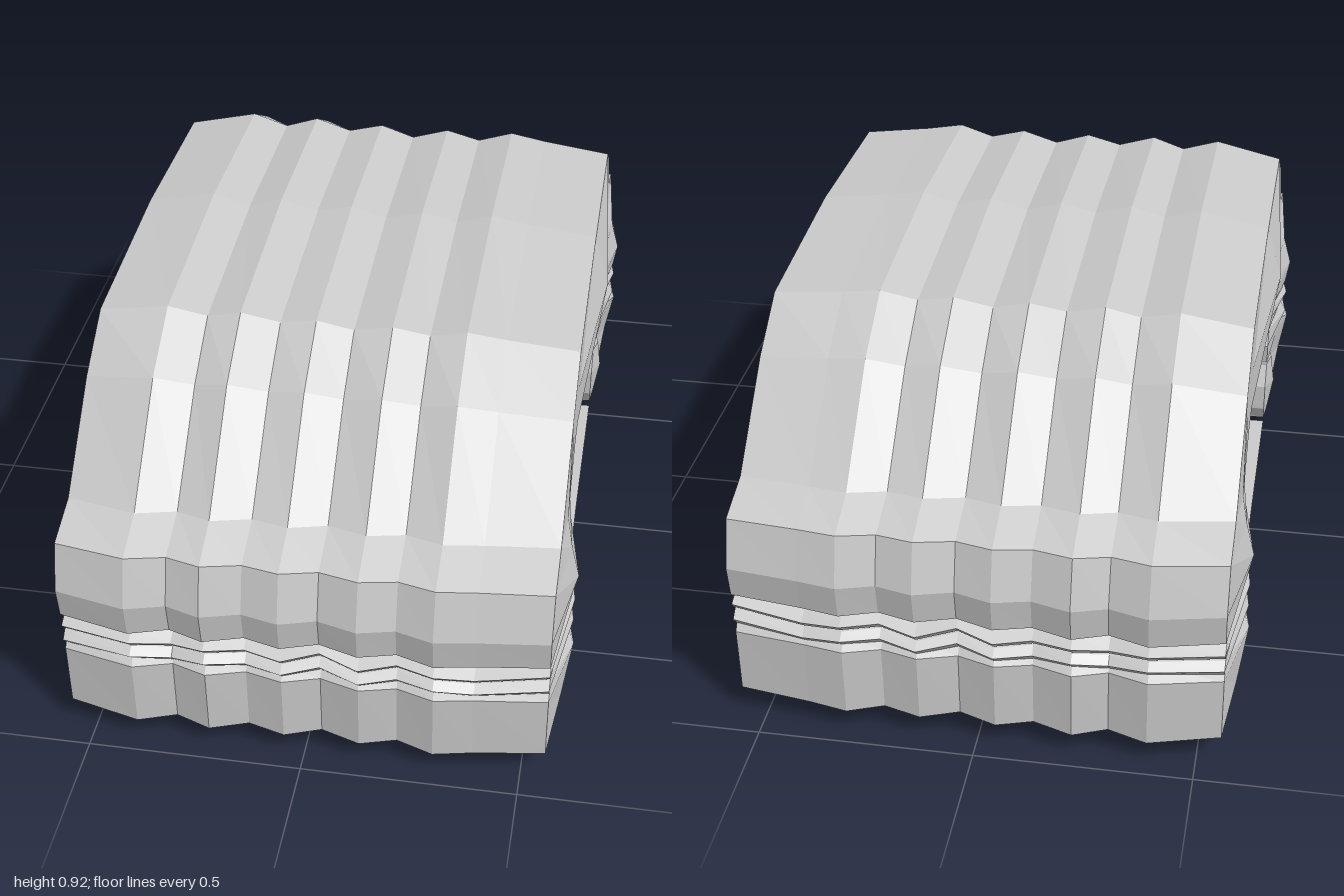
import * as THREE from 'three';

// x stations across the width, with how far each is sunk below the ridge crests
const STATIONS = [
  [-0.555, 0.035], [-0.39, 0], [-0.3, 0.025], [-0.22, 0], [-0.13, 0.025], [-0.045, 0.005],
  [0.04, 0.03], [0.13, 0.005], [0.215, 0.025], [0.3, 0], [0.39, 0.015], [0.555, 0.035],
];

const material = new THREE.MeshStandardMaterial({ color: 0xcccccc, flatShading: true, side: THREE.DoubleSide });

const mirrorZ = (rows) => rows.map(([z, y, bz, by, ...rest]) => [-z, y, -bz, by, ...rest]);

// Lofts a band along x. Each row pairs an outer point with an inner one:
// [z, y, innerZ, innerY, swelling of the ends, ridge depth factor].
function ridgedBand(name, rows, wobble = 0) {
  const outline = [...rows.map((r) => [r[0], r[1]]), ...rows.map((r) => [r[2], r[3]]).reverse()];
  let area = 0;
  outline.forEach(([z, y], i) => {
    const [z2, y2] = outline[(i + 1) % outline.length];
    area += -z * y2 + z2 * y;
  });
  const ordered = area < 0 ? [...rows].reverse() : rows;
  const n = ordered.length;

  const verts = [];
  const tri = (...pts) => pts.forEach((p) => verts.push(...p));
  const quad = (a, b, c, d) => { tri(a, b, c); tri(a, c, d); };

  const rings = STATIONS.map(([x, sink], s) => {
    const outer = [], inner = [];
    ordered.forEach(([z, y, bz, by, , depth = 1]) => {
      const len = Math.hypot(bz - z, by - y);
      const dz = (bz - z) / len * sink * depth, dy = (by - y) / len * sink * depth;
      const lift = wobble * Math.sin(s * 2.4);
      outer.push([x, y + dy + lift, z + dz]);
      inner.push([x, by - dy * 0.7 + lift, bz - dz * 0.7]);
    });
    return { outer, inner, loop: [...outer, ...[...inner].reverse()] };
  });

  // corrugated skin
  for (let s = 0; s < rings.length - 1; s++) {
    const a = rings[s].loop, b = rings[s + 1].loop;
    for (let i = 0; i < 2 * n; i++) {
      const j = (i + 1) % (2 * n);
      quad(a[i], a[j], b[j], b[i]);
    }
  }

  // swollen ends
  for (const side of [-1, 1]) {
    const { outer, inner } = side < 0 ? rings[0] : rings[rings.length - 1];
    const mid = outer.map((p, i) => [
      p[0] + side * (ordered[i][4] ?? 0.035),
      (p[1] + inner[i][1]) / 2,
      (p[2] + inner[i][2]) / 2,
    ]);
    const face = (a, b, c, d) => (side > 0 ? quad(a, b, c, d) : quad(d, c, b, a));
    for (let i = 0; i < n - 1; i++) {
      face(outer[i], outer[i + 1], mid[i + 1], mid[i]);
      face(mid[i], mid[i + 1], inner[i + 1], inner[i]);
    }
    const last = n - 1;
    const cap = (a, b, c) => (side > 0 ? tri(a, b, c) : tri(c, b, a));
    cap(outer[0], mid[0], inner[0]);
    cap(outer[last], inner[last], mid[last]);
  }

  const geometry = new THREE.BufferGeometry();
  geometry.setAttribute('position', new THREE.Float32BufferAttribute(verts, 3));
  geometry.computeVertexNormals();
  const mesh = new THREE.Mesh(geometry, material);
  mesh.name = name;
  return mesh;
}

export function createModel() {
  const group = new THREE.Group();
  group.name = 'ridgedArch';

  // arch, from the front shoulder over the crown to the back shoulder
  const half = [
    [0.93, 0.315, 0.47, 0.385, 0.02],
    [0.985, 0.345, 0.455, 0.405, 0.03],
    [1.0, 0.43, 0.46, 0.43, 0.04],
    [0.97, 0.55, 0.475, 0.465, 0.02],
    [0.86, 0.59, 0.465, 0.49, 0.005, 1.3],
    [0.64, 0.805, 0.41, 0.55, 0, 1.3],
    [0.48, 0.895, 0.35, 0.57, 0],
  ];
  const crown = [0, 0.92, 0, 0.605, 0.037];
  group.add(ridgedBand('arch', [...half, crown, ...mirrorZ(half).reverse()]));

  // parts of each foot; the plates climb towards the inside of the arch
  const foot = [
    [0.95, 0.265, 0.5, 0.34, 0.01],
    [0.975, 0.235, 0.53, 0.26, 0.04],
    [0.965, 0.06, 0.62, 0.17, 0.02],
    [0.72, 0.0, 0.63, 0.06, 0.005],
  ];
  const upperPlate = [
    [0.95, 0.325, 0.465, 0.4, 0.02],
    [0.985, 0.31, 0.45, 0.37],
    [0.97, 0.293, 0.455, 0.34, 0.02],
  ];
  const lowerPlate = [
    [0.965, 0.285, 0.47, 0.335, 0.02],
    [0.985, 0.27, 0.45, 0.29],
    [0.965, 0.25, 0.465, 0.23, 0.02],
  ];
  const innerPad = [
    [0.6, 0.24, 0.46, 0.225, 0.01],
    [0.65, 0.12, 0.44, 0.17, 0.02],
    [0.61, 0.01, 0.45, 0.1, 0.005],
    [0.57, 0.025, 0.475, 0.05, 0],
  ];
  for (const [label, place] of [['front', (r) => r], ['back', mirrorZ]]) {
    group.add(ridgedBand(label + 'Foot', place(foot)));
    group.add(ridgedBand(label + 'UpperPlate', place(upperPlate), 0.008));
    group.add(ridgedBand(label + 'LowerPlate', place(lowerPlate), 0.008));
    group.add(ridgedBand(label + 'InnerPad', place(innerPad), 0.004));
  }

  // thin floor sheet between the feet, raised and slightly tilted in the middle
  const floorGeometry = new THREE.PlaneGeometry(1.11, 0.97, 1, 2).rotateX(-Math.PI / 2);
  const pos = floorGeometry.attributes.position;
  for (let i = 0; i < pos.count; i++) {
    const middle = 1 - Math.abs(pos.getZ(i)) / 0.485;
    pos.setY(i, 0.04 + middle * (0.018 + 0.013 * pos.getX(i)));
  }
  floorGeometry.computeVertexNormals();
  const floor = new THREE.Mesh(floorGeometry, material);
  floor.name = 'floor';
  group.add(floor);

  return group;
}
